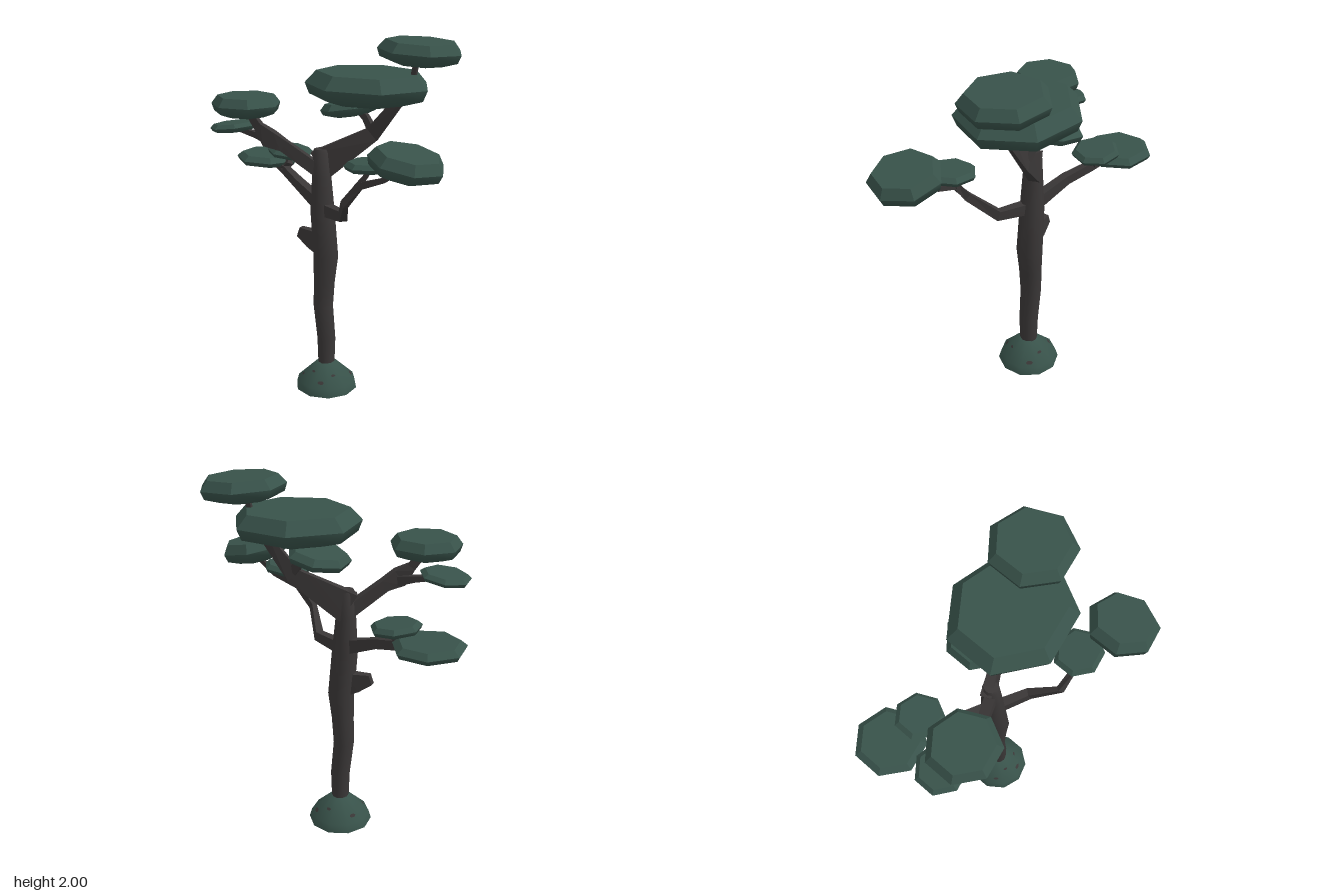
import * as THREE from 'three';
import { mergeGeometries, toCreasedNormals } from 'three/addons/utils/BufferGeometryUtils.js';

const FLAT = 0.1, SMOOTH = 0.9;
const V = (x, y, z) => new THREE.Vector3(x, y, z);

// Skin a list of equal-sized rings (counter-clockwise about the path) and cap both ends.
function loft(rings, crease) {
  const n = rings[0].length, idx = [];
  for (let i = 0; i < rings.length - 1; i++) {
    for (let j = 0; j < n; j++) {
      const a = i * n + j, b = i * n + (j + 1) % n;
      idx.push(a, b, b + n, a, b + n, a + n);
    }
  }
  const last = (rings.length - 1) * n;
  for (let j = 1; j < n - 1; j++) idx.push(0, j + 1, j, last, last + j, last + j + 1);
  const g = new THREE.BufferGeometry().setFromPoints(rings.flat());
  g.setIndex(idx);
  return toCreasedNormals(g, crease);
}

// Angular branch; each point is [x, y, z, half height, half width].
function branchGeometry(pts) {
  const p = pts.map(([x, y, z]) => V(x, y, z));
  const rings = p.map((c, i) => {
    const t = p[Math.min(i + 1, p.length - 1)].clone().sub(p[Math.max(i - 1, 0)]).normalize();
    const s = t.clone().cross(V(0, 1, 0)).normalize();
    const n = s.clone().cross(t);
    const [h, w] = pts[i].slice(3);
    return [[1, -1], [1, 1], [-1, 1], [-1, -1]].map(([a, b]) =>
      c.clone().addScaledVector(n, a * h).addScaledVector(s, b * w));
  });
  return loft(rings, FLAT);
}

// Seven-sided foliage pad: faceted crown over a smooth underside.
function padGeometry() {
  const lathe = (pts) => new THREE.LatheGeometry(
    pts.map(([r, y]) => new THREE.Vector2(r, y - 0.5)), 7, Math.PI / 2);
  const under = lathe([[0, 0], [0.58, 0.03], [0.93, 0.25], [1, 0.6]]).toNonIndexed();
  const crown = toCreasedNormals(lathe([[1, 0.6], [0.82, 1], [0, 1]]), FLAT);
  return mergeGeometries([under, crown]);
}

export function createModel() {
  const bark = new THREE.MeshStandardMaterial({ color: 0x3a3737 });
  bark.name = 'bark';
  const leaf = new THREE.MeshStandardMaterial({ color: 0x38524a });
  leaf.name = 'foliage';

  const tree = new THREE.Group();
  tree.name = 'tree';
  const add = (name, geo, mat) => {
    const m = new THREE.Mesh(geo, mat);
    m.name = name;
    tree.add(m);
    return m;
  };

  // Trunk: [y, centre x, radius x, radius z]
  const trunk = [
    [0.1, -0.055, 0.046, 0.05], [0.3, -0.055, 0.053, 0.055], [0.5, -0.075, 0.056, 0.061],
    [0.65, -0.068, 0.06, 0.066], [0.8, -0.058, 0.071, 0.074], [1.05, -0.078, 0.07, 0.067],
    [1.25, -0.083, 0.054, 0.056], [1.39, -0.087, 0.044, 0.046], [1.405, -0.087, 0.036, 0.038],
  ].map(([y, x, rx, rz]) => Array.from({ length: 10 }, (_, j) => {
    const a = j / 10 * Math.PI * 2;
    return V(x + Math.sin(a) * rx, y, -0.043 + Math.cos(a) * rz);
  }));
  add('trunk', loft(trunk, SMOOTH), bark);

  // Mossy mound at the foot, with bark patches lying on its slope
  const mound = new THREE.LatheGeometry(
    [[0, 0], [0.178, 0], [0.165, 0.045], [0.05, 0.155], [0, 0.155]].map(([r, y]) => new THREE.Vector2(r, y)), 10);
  add('mound', toCreasedNormals(mound, SMOOTH), leaf).position.set(-0.055, 0, -0.043);
  [[0, 0.07, 1], [1, 0.1, 0.7], [3, 0.065, 1.1], [4, 0.1, 0.8], [6, 0.075, 1], [8, 0.07, 0.8], [9, 0.11, 0.7]]
    .forEach(([face, y, s]) => {
      const a = (face + 0.5) * Math.PI / 5;
      const r = (0.165 - (y - 0.045) * 1.045) * Math.cos(Math.PI / 10) + 0.002;
      const patch = add('mossPatch', new THREE.CircleGeometry(0.014 * s, 6), bark);
      patch.rotation.set(-0.79, a, 0, 'YXZ');
      patch.scale.set(1.4, 0.8, 1);
      patch.position.set(-0.055 + Math.sin(a) * r, y + 0.002, -0.043 + Math.cos(a) * r);
    });

  // Branches
  const branches = {
    topBranch: [[-0.1, 1.31, -0.05, 0.085, 0.03], [0.16, 1.49, -0.165, 0.042, 0.016],
      [0.32, 1.69, -0.17, 0.026, 0.012], [0.39, 1.8, -0.17, 0.014, 0.01], [0.41, 1.9, -0.17, 0.012, 0.01]],
    topTwig: [[0.16, 1.51, -0.165, 0.025, 0.014], [0.11, 1.575, -0.18, 0.02, 0.012], [0.05, 1.61, -0.19, 0.012, 0.01]],
    leftBranch: [[-0.07, 1.07, -0.04, 0.035, 0.028], [0.11, 1.08, 0.05, 0.028, 0.022],
      [0.2, 1.195, 0.185, 0.022, 0.014], [0.29, 1.305, 0.19, 0.02, 0.012],
      [0.43, 1.355, 0.19, 0.013, 0.011], [0.53, 1.43, 0.2, 0.012, 0.01]],
    leftTwig: [[0.28, 1.3, 0.19, 0.018, 0.012], [0.325, 1.365, 0.18, 0.012, 0.01], [0.35, 1.41, 0.17, 0.01, 0.01]],
    rightLowBranch: [[-0.09, 1.085, -0.05, 0.038, 0.028], [-0.29, 1.165, -0.125, 0.026, 0.024],
      [-0.43, 1.205, -0.2, 0.025, 0.018], [-0.56, 1.235, -0.26, 0.014, 0.014]],
    rightLowTwig: [[-0.45, 1.2, -0.2, 0.02, 0.014], [-0.415, 1.245, -0.215, 0.02, 0.014], [-0.43, 1.3, -0.23, 0.012, 0.01]],
    rightHighBranch: [[-0.08, 1.27, -0.045, 0.035, 0.03], [-0.26, 1.42, 0.055, 0.032, 0.026],
      [-0.33, 1.46, 0.095, 0.048, 0.03], [-0.39, 1.52, 0.105, 0.024, 0.018], [-0.45, 1.6, 0.115, 0.018, 0.014]],
    rightHighTwig: [[-0.3, 1.44, 0.08, 0.03, 0.022], [-0.42, 1.465, 0.08, 0.017, 0.016], [-0.54, 1.485, 0.08, 0.012, 0.012]],
    brokenStub: [[-0.08, 0.86, -0.043, 0.06, 0.03], [-0.15, 0.885, -0.043, 0.052, 0.026], [-0.23, 0.912, -0.043, 0.028, 0.018]],
  };
  for (const [name, pts] of Object.entries(branches)) add(name, branchGeometry(pts), bark);

  // Foliage pads: [x, y, z, radius x, thickness, radius z, tilt]
  const pad = padGeometry();
  const pads = {
    crownPad: [0.408, 1.931, -0.213, 0.225, 0.12, 0.223, -0.06],
    mainPad: [0.158, 1.745, -0.12, 0.342, 0.165, 0.314, -0.015],
    underPad: [0.004, 1.61, -0.2, 0.166, 0.08, 0.172, 0.17],
    rightHighPad: [-0.457, 1.628, 0.122, 0.192, 0.113, 0.188, 0],
    rightHighSmallPad: [-0.577, 1.493, 0.08, 0.137, 0.05, 0.133, 0.12],
    rightLowPad: [-0.602, 1.242, -0.27, 0.19, 0.07, 0.189, -0.02],
    rightLowSmallPad: [-0.419, 1.307, -0.232, 0.134, 0.055, 0.132, -0.1],
    leftPad: [0.584, 1.466, 0.255, 0.192, 0.125, 0.194, -0.2],
    leftSmallPad: [0.342, 1.41, 0.17, 0.137, 0.055, 0.133, 0.05],
  };
  for (const [name, [x, y, z, rx, t, rz, tilt]] of Object.entries(pads)) {
    const m = add(name, pad, leaf);
    m.position.set(x, y, z);
    m.scale.set(rx, t, rz);
    m.rotation.z = tilt;
  }
  return tree;
}
